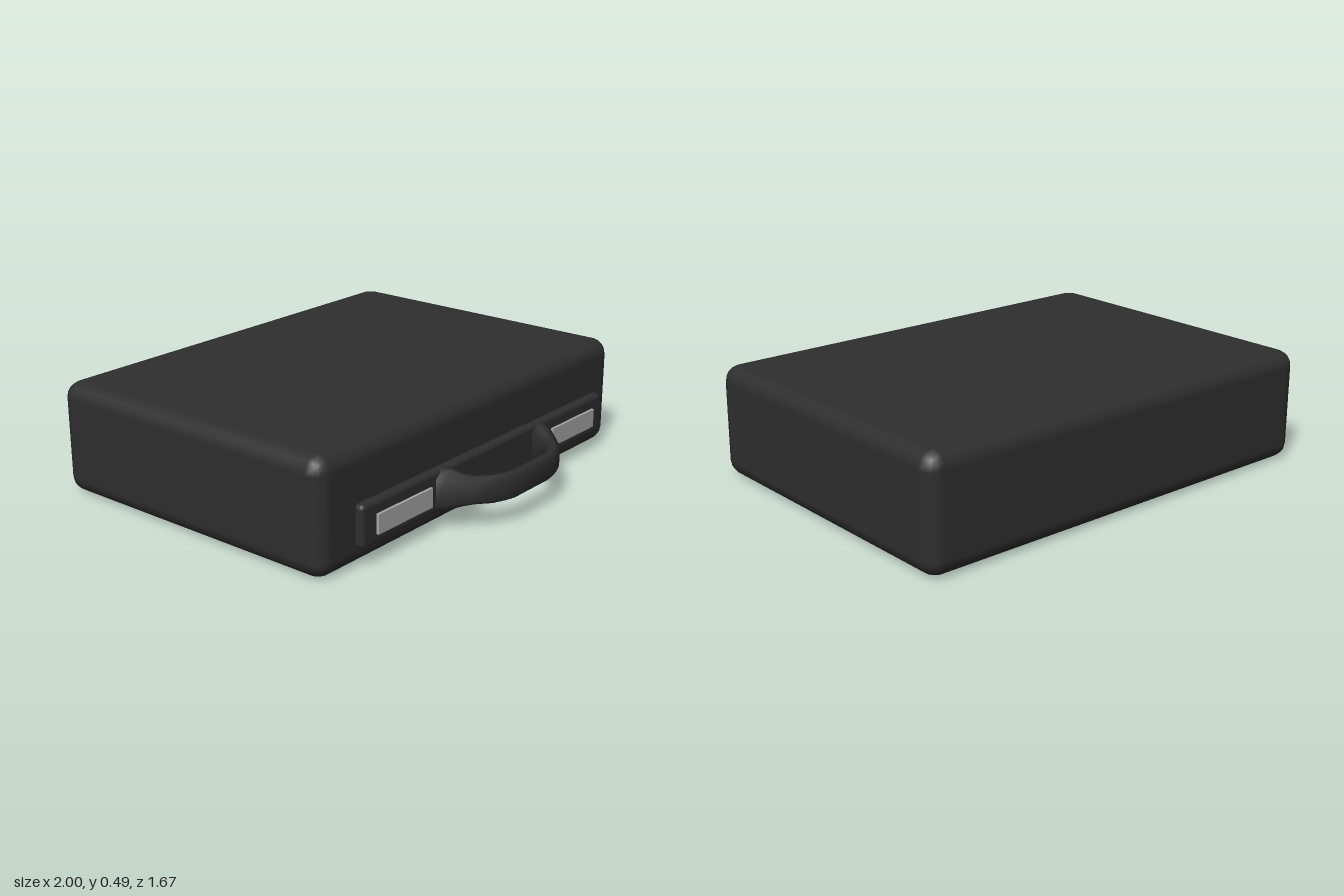
import * as THREE from 'three';
import { RoundedBoxGeometry } from 'three/addons/geometries/RoundedBoxGeometry.js';

const CX = 0.04, CY = 0.17; // centre of the handle and its plate

// Loft a chamfered cross-section along the handle; smooth normals
function handleGeometry() {
  // half of the arch: outer x, z, inner x, z (offsets from the centre), half height
  const half = [
    [0.40, 0.62, 0.285, 0.62, 0.088],
    [0.372, 0.665, 0.275, 0.645, 0.082],
    [0.335, 0.71, 0.265, 0.672, 0.066],
    [0.295, 0.752, 0.245, 0.705, 0.057],
    [0.235, 0.798, 0.198, 0.753, 0.057],
    [0.18, 0.82, 0.155, 0.774, 0.057],
    [0.13, 0.835, 0.105, 0.785, 0.057],
  ];
  const mirrored = half.slice().reverse().map(([a, b, c, d, h]) => [-a, b, -c, d, h]);
  const sections = [...half, ...mirrored];
  // ring: position across (0 = inner, 1 = outer) and height factor
  const ring = [[1, -0.65], [1, 0.65], [0.65, 1], [0.35, 1], [0, 0.65], [0, -0.65], [0.35, -1], [0.65, -1]];
  const n = ring.length, pos = [], idx = [];
  for (const [ox, oz, ix, iz, h] of sections) {
    for (const [t, v] of ring) {
      pos.push(CX + ix + (ox - ix) * t, CY + h * v, iz + (oz - iz) * t);
    }
  }
  for (let s = 0; s < sections.length - 1; s++) {
    for (let k = 0; k < n; k++) {
      const a = s * n + k, b = s * n + (k + 1) % n;
      idx.push(a, b, a + n, b, b + n, a + n);
    }
  }
  const g = new THREE.BufferGeometry();
  g.setAttribute('position', new THREE.Float32BufferAttribute(pos, 3));
  g.setIndex(idx);
  g.computeVertexNormals();
  return g;
}

export function createModel() {
  const group = new THREE.Group();
  const black = new THREE.MeshStandardMaterial({ color: 0x2e2e2e, side: THREE.DoubleSide });
  black.name = 'black leather';
  const metal = new THREE.MeshStandardMaterial({ color: 0xa6a6a6 });
  metal.name = 'grey metal';

  const add = (name, geometry, material, x, y, z) => {
    const mesh = new THREE.Mesh(geometry, material);
    mesh.name = name;
    mesh.position.set(x, y, z);
    group.add(mesh);
  };

  // Case body with softly rounded edges
  add('caseBody', new RoundedBoxGeometry(2, 0.486, 1.43, 2, 0.07), black, 0, 0.243, -0.12);

  // Plate that carries the latches and the handle
  add('latchPlate', new RoundedBoxGeometry(1.68, 0.18, 0.07, 2, 0.02), black, CX, CY, 0.595);

  // Two latches
  for (const [name, side] of [['leftLatch', 1], ['rightLatch', -1]]) {
    add(name, new THREE.BoxGeometry(0.333, 0.083, 0.018), metal, CX + side * 0.594, 0.165, 0.633);
  }

  // Arched handle with flared feet
  add('handle', handleGeometry(), black, 0, 0, 0);
  return group;
}
